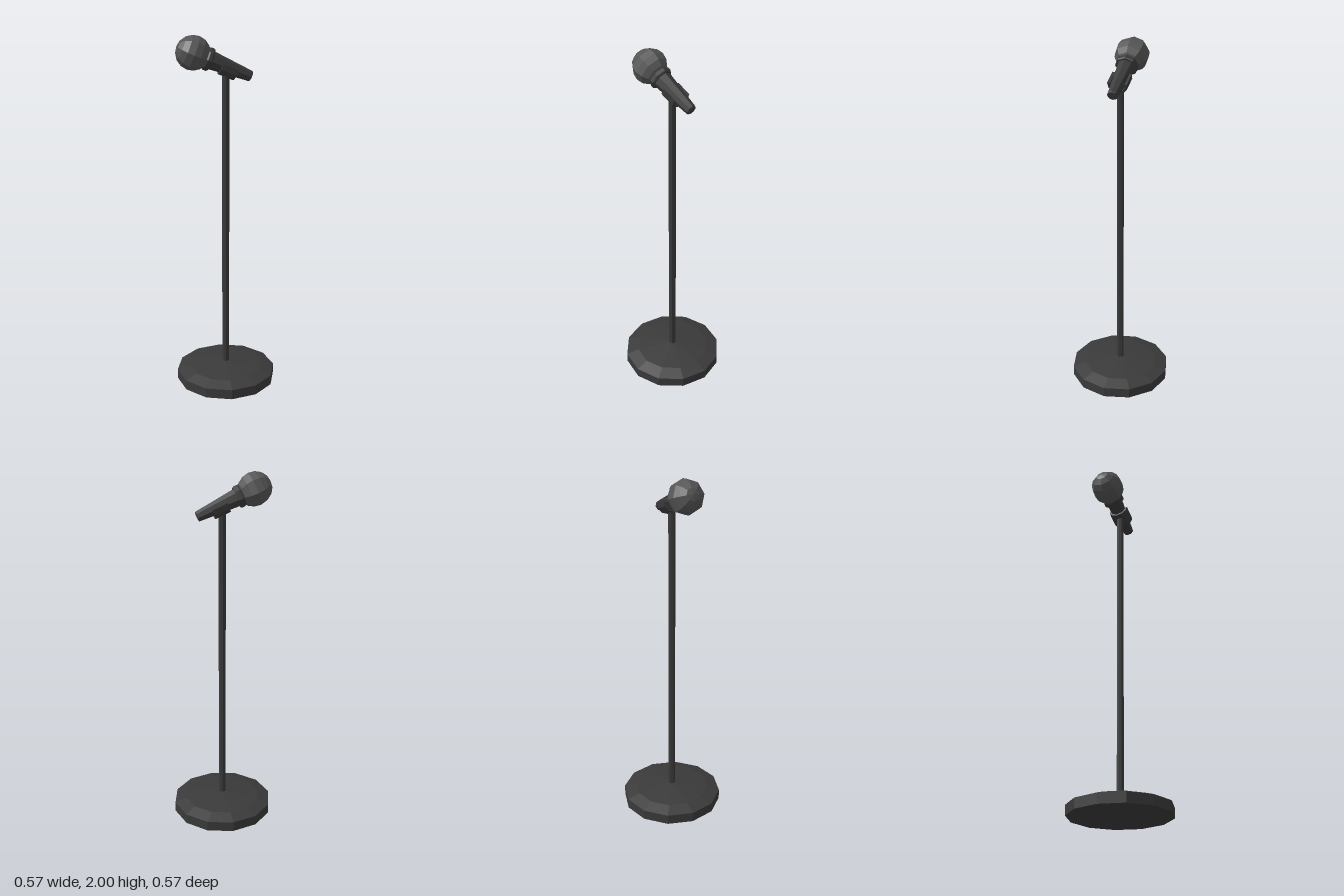
import * as THREE from 'three';

const dark = new THREE.MeshStandardMaterial({ color: 0x3a3a3a, flatShading: true });
const grille = new THREE.MeshStandardMaterial({ color: 0x555555, flatShading: true });

function add(parent, name, geometry, material = dark) {
  const mesh = new THREE.Mesh(geometry, material);
  mesh.name = name;
  parent.add(mesh);
  return mesh;
}

// Faceted solid of revolution from [radius, y] pairs, bottom to top
function lathe(points, sides) {
  return new THREE.LatheGeometry(points.map(([r, y]) => new THREE.Vector2(r, y)), sides);
}

// Open cradle: a ring segment extruded along y, opening towards +x
function cradleGeometry(inner, outer, length) {
  const steps = 6, start = 1.36, sweep = 2 * (Math.PI - start);
  const arc = (r) => Array.from({ length: steps + 1 }, (_, i) => {
    const a = start + (sweep * i) / steps;
    return new THREE.Vector2(r * Math.cos(a), r * Math.sin(a));
  });
  const shape = new THREE.Shape([...arc(outer), ...arc(inner).reverse()]);
  return new THREE.ExtrudeGeometry(shape, { depth: length, bevelEnabled: false })
    .rotateX(-Math.PI / 2);
}

export function createModel() {
  const model = new THREE.Group();
  model.name = 'microphoneStand';

  // Twelve-sided weighted base with a shallow domed top
  add(model, 'base', lathe([[0, 0], [0.283, 0], [0.283, 0.057], [0.212, 0.08], [0, 0.105]], 12));

  // Upright pole
  add(model, 'pole', new THREE.CylinderGeometry(0.02, 0.02, 1.7, 8)).position.y = 0.94;

  // Tilted microphone: origin at the head, local +y points out of the head
  const mic = new THREE.Group();
  mic.name = 'microphone';
  mic.position.set(-0.172, 1.907, -0.004);
  mic.rotation.z = THREE.MathUtils.degToRad(67);
  model.add(mic);

  add(mic, 'head', new THREE.SphereGeometry(0.094, 8, 8), grille);
  add(mic, 'collar', lathe(
    [[0, -0.105], [0.058, -0.105], [0.063, -0.097], [0.063, -0.08], [0.058, -0.072], [0, -0.072]], 8));
  add(mic, 'handle', lathe(
    [[0, -0.335], [0.026, -0.335], [0.029, -0.33], [0.05, -0.1], [0, -0.1]], 8));

  // Clip holding the handle on top of the pole
  add(mic, 'clip', cradleGeometry(0.041, 0.055, 0.088)).position.y = -0.252;

  return model;
}
